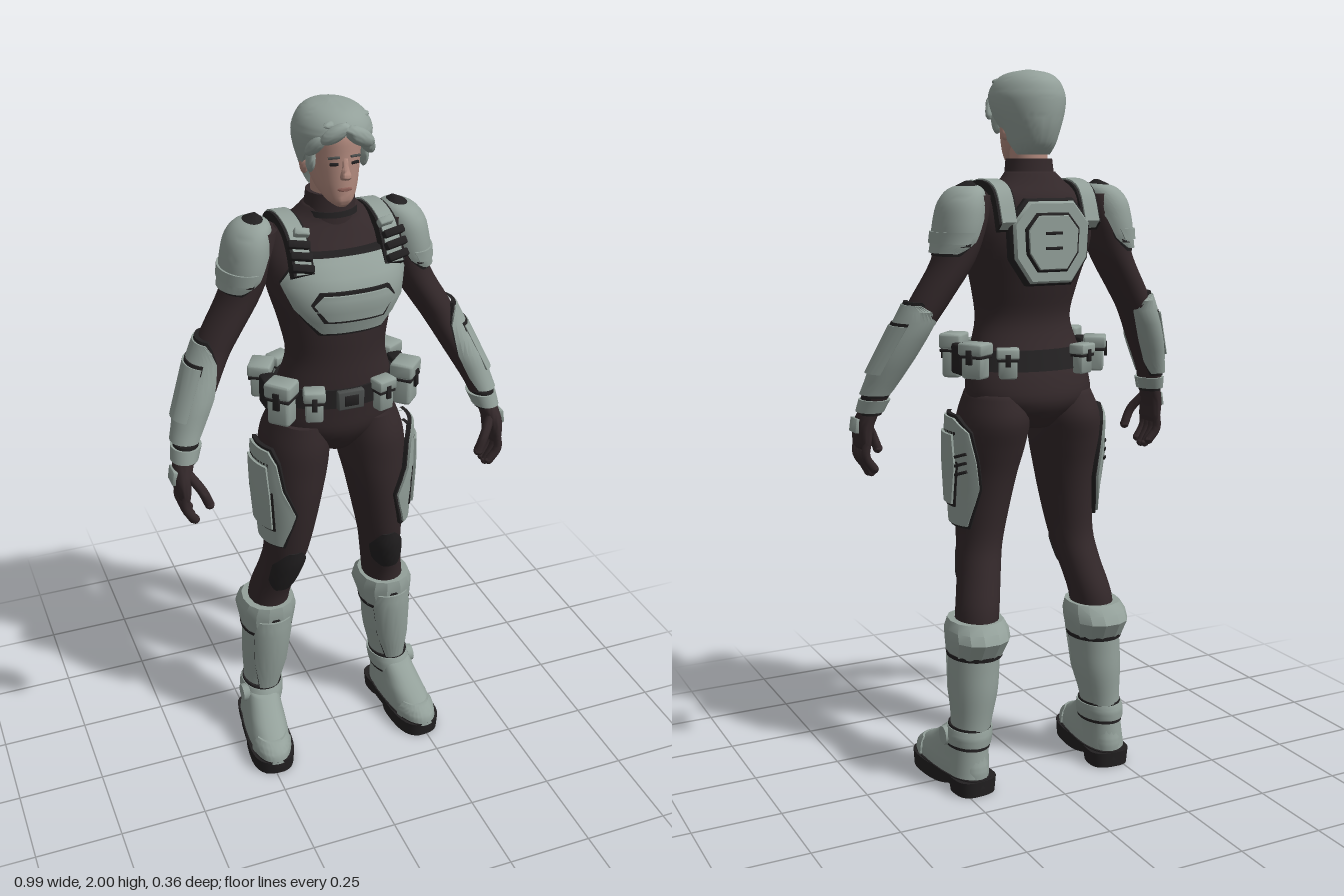
import * as THREE from 'three';
import { toCreasedNormals } from 'three/addons/utils/BufferGeometryUtils.js';
import { RoundedBoxGeometry } from 'three/addons/geometries/RoundedBoxGeometry.js';

const paint = (name, color) => Object.assign(new THREE.MeshStandardMaterial({ color }), { name });
const suit = paint('suit', 0x33282a), armour = paint('armour', 0x93a09a), trim = paint('trim', 0x222021);
const skin = paint('skin', 0xb28a7e), lip = paint('lip', 0x8f625a), metal = paint('metal', 0x4b4e4d);

export function createModel() {
  const model = new THREE.Group();
  model.name = 'armouredFigure';

  // Adds a mesh; both = true also adds its mirror image on the other side
  function add(name, mat, geo, both = false, crease = 0.7) {
    for (const side of both ? [1, -1] : [1]) {
      const g = geo.index ? geo.toNonIndexed() : geo.clone();
      g.deleteAttribute('uv');
      g.deleteAttribute('normal');
      const p = g.attributes.position;
      if (side < 0) {
        for (let i = 0; i < p.count; i += 3) {
          const a = [p.getX(i), p.getY(i), p.getZ(i)];
          p.setXYZ(i, p.getX(i + 1), p.getY(i + 1), p.getZ(i + 1));
          p.setXYZ(i + 1, ...a);
        }
        for (let i = 0; i < p.count; i++) p.setX(i, -p.getX(i));
      }
      const mesh = new THREE.Mesh(toCreasedNormals(g, crease), mat);
      mesh.name = both ? (side > 0 ? 'left' : 'right') + name[0].toUpperCase() + name.slice(1) : name;
      model.add(mesh);
    }
  }

  // Skins stacked oval rows [y, cx, cz, rx, rz, startAngle, endAngle]; partial angles make a thick shell
  function wrap(rows, { t = 0.012, n = 28, per = 4, pow = 1, linear = false, shell = false } = {}) {
    const src = (rows[0][0] < rows[rows.length - 1][0] ? rows : [...rows].reverse()).map(r => r.length > 5 ? r : [...r, 0, 360]);
    const open = shell || rows[0].length > 5, R = [], last = src.length - 1;
    for (let s = 0; s <= last * per; s++) {
      const i = Math.min(Math.floor(s / per), last - 1), f = s / per - i;
      const [a, b, c, d] = [-1, 0, 1, 2].map(k => src[Math.min(last, Math.max(0, i + k))]);
      R.push(b.map((v, k) => linear || k > 4 ? v + (c[k] - v) * f
        : v + 0.5 * f * (c[k] - a[k] + f * (2 * a[k] - 5 * v + 4 * c[k] - d[k] + f * (3 * (v - c[k]) + d[k] - a[k])))));
    }
    const inset = r => [r[0], r[1], r[2], open ? r[3] - t : 0, open ? r[4] - t : 0, r[5], r[6]];
    const all = [inset(R[0]), ...R, inset(R[R.length - 1])];
    const pos = [], idx = [], cols = open ? n + 3 : n + 1;
    const bend = v => Math.sign(v) * Math.abs(v) ** pow;
    for (const [y, cx, cz, rx, rz, a0, a1] of all) {
      for (let j = 0; j < cols; j++) {
        const k = open ? Math.min(n, Math.max(0, j - 1)) : j;
        const cut = open && (j === 0 || j === cols - 1) ? t : 0;
        const a = (a0 + (a1 - a0) * k / n) * Math.PI / 180;
        pos.push(cx + Math.max(0, rx - cut) * bend(Math.cos(a)), y, cz + Math.max(0, rz - cut) * bend(Math.sin(a)));
      }
    }
    for (let i = 0; i < all.length - 1; i++) for (let j = 0; j < cols - 1; j++) {
      const a = i * cols + j, b = a + cols;
      idx.push(a, b, a + 1, b, b + 1, a + 1);
    }
    const g = new THREE.BufferGeometry();
    g.setAttribute('position', new THREE.Float32BufferAttribute(pos, 3));
    g.setIndex(idx);
    return g;
  }

  // Armour shell with a slightly wider dark edging underneath
  function plate(name, rows, both, opts = {}) {
    add(name, armour, wrap(rows, { n: 16, per: 2, linear: true, ...opts }), both, 0.5);
    const e = rows.length - 1, up = Math.sign(rows[0][0] - rows[e][0]);
    const edge = rows.map(([y, cx, cz, rx, rz, a0, a1], i) =>
      [y + (i === 0 ? up : i === e ? -up : 0) * 0.008, cx, cz, rx - 0.007, rz - 0.007, a0 - 4, a1 + 4]);
    add(name + 'Edge', trim, wrap(edge, { n: 16, per: 2, linear: true, ...opts }), both, 0.5);
  }

  function place(g, pos, rot = [0, 0, 0]) {
    return g.applyMatrix4(new THREE.Matrix4().makeRotationFromEuler(new THREE.Euler(...rot)).setPosition(...pos));
  }
  const block = (name, mat, size, pos, rot, both) =>
    add(name, mat, place(new RoundedBoxGeometry(...size, 2, Math.min(...size) * 0.2), pos, rot), both);
  const ball = (name, mat, size, pos, rot, both) =>
    add(name, mat, place(new THREE.SphereGeometry(1, 18, 12).scale(...size), pos, rot), both, 1.5);

  // Body suit
  add('torso', suit, wrap([[1.03, 0, -.02, .06, .08], [1.1, 0, -.025, .172, .13], [1.17, 0, -.015, .182, .13], [1.25, 0, .005, .16, .115],
    [1.33, 0, .015, .14, .105], [1.42, 0, .005, .155, .12], [1.52, 0, -.01, .182, .135], [1.6, 0, -.025, .188, .125],
    [1.66, 0, -.04, .16, .1], [1.7, 0, -.038, .1, .075], [1.73, 0, -.03, .07, .064]], { n: 40 }), false, 1.2);
  add('collar', suit, wrap([[1.67, 0, -.03, .085, .075], [1.72, 0, -.026, .07, .066], [1.765, 0, -.024, .064, .062]], { shell: true }));
  add('collarBand', trim, wrap([[1.705, 0, -.027, .077, .072], [1.72, 0, -.026, .073, .069]], { shell: true }));
  add('leg', suit, wrap([[1.13, .1, -.015, .08, .115], [1.06, .11, -.02, .096, .132], [.98, .118, -.01, .096, .12], [.9, .125, 0, .085, .106],
    [.8, .135, .003, .074, .09], [.7, .147, -.003, .064, .076], [.62, .161, -.028, .06, .073], [.52, .182, -.062, .06, .073],
    [.42, .192, -.065, .06, .07]]), true, 1.2);
  add('kneePad', trim, wrap([[.72, .145, .002, .055, .08, 70, 110], [.67, .151, -.01, .064, .084, 35, 145], [.61, .163, -.03, .063, .083, 40, 140],
    [.57, .172, -.045, .06, .08, 70, 110]], { n: 14 }), true);
  add('arm', suit, wrap([[1.67, .185, -.055, .045, .065], [1.6, .212, -.055, .062, .078], [1.5, .243, -.055, .057, .072], [1.4, .303, -.045, .054, .065],
    [1.34, .338, -.035, .05, .06], [1.25, .385, -.005, .046, .056], [1.15, .43, .03, .036, .043], [1.09, .447, .052, .031, .038]]), true, 1.2);

  // Chest and back armour
  plate('chestPlate', [[1.625, 0, -.02, .185, .13, 55, 125], [1.6, 0, -.015, .188, .148, 40, 140], [1.56, 0, -.005, .188, .166, 24, 156],
    [1.5, 0, 0, .18, .172, 36, 144], [1.43, 0, 0, .16, .15, 62, 118]], false, { pow: .85, t: .03, n: 24 });
  plate('chestPanel', [[1.545, 0, 0, .19, .178, 66, 114], [1.52, 0, 0, .19, .181, 58, 122], [1.475, 0, 0, .18, .175, 69, 111]], false, { pow: .85 });
  const octagon = s => new THREE.Shape([[-.065, .105], [.065, .105], [.11, .05], [.105, -.04], [.06, -.105], [-.06, -.105], [-.105, -.04], [-.11, .05]]
    .map(([x, y]) => new THREE.Vector2(x * s, y * s)));
  [['backPlateEdge', trim, 1.05, -.125], ['backPlate', armour, .98, -.135], ['backPanelEdge', trim, .7, -.142], ['backPanel', armour, .66, -.145]].forEach(([name, mat, s, z]) =>
    add(name, mat, place(new THREE.ExtrudeGeometry(octagon(s), { depth: .02, bevelSize: .006, bevelThickness: .008, bevelSegments: 1 }), [0, 1.545, z], [0, Math.PI, 0])));
  for (const y of [1.53, 1.57]) block('backSlot', trim, [.05, .008, .006], [0, y, -.174], [0, 0, 0]);

  // Shoulder straps with dark buckles
  const over = [[.128, 1.6], [.1, 1.655], [.05, 1.698], [-.04, 1.712], [-.12, 1.685], [-.16, 1.6]];
  const strap = (grow, w, x) => {
    const pts = new THREE.SplineCurve(over.map(([z, y]) => new THREE.Vector2(z * (1 + grow * 8), y + grow))).getPoints(20);
    const inner = pts.map(p => new THREE.Vector2(p.x * .8 - .008, p.y - .022)).reverse();
    return place(new THREE.ExtrudeGeometry(new THREE.Shape([...pts, ...inner]), { depth: w, bevelEnabled: false }).rotateY(-Math.PI / 2), [x + w / 2, 0, 0]);
  };
  add('shoulderStrapEdge', trim, strap(-.004, .056, .125), true);
  add('shoulderStrap', armour, strap(0, .042, .125), true);
  for (const [y, z] of [[1.615, .126], [1.643, .113], [1.668, .095]]) block('strapBuckle', trim, [.058, .02, .026], [.13, y, z], [-.6, 0, .2], true);
  block('strapClip', armour, [.04, .02, .024], [.115, 1.692, .075], [-.8, 0, .2], true);

  // Shoulder and arm armour
  plate('shoulderPad', [[1.7, .195, -.055, .012, .02, -179, 179], [1.685, .205, -.055, .045, .062, -179, 179], [1.65, .217, -.055, .061, .085, -150, 150],
    [1.6, .226, -.055, .065, .092, -125, 125], [1.55, .235, -.055, .063, .089, -110, 110], [1.52, .247, -.055, .058, .078, -75, 75]], true, { linear: false, n: 24, per: 4 });
  plate('shoulderPadRim', [[1.575, .231, -.055, .069, .097, -100, 100], [1.545, .236, -.055, .068, .094, -90, 90]], true);
  plate('forearmGuard', [[1.385, .328, -.04, .055, .066, -60, 50], [1.34, .346, -.032, .058, .07, -135, 95], [1.25, .39, -.002, .058, .068, -140, 125],
    [1.18, .42, .02, .048, .056, -140, 130], [1.14, .436, .034, .044, .051, -120, 120]], true, { n: 20, linear: false });
  plate('forearmPanel', [[1.33, .352, -.03, .063, .075, -50, 60], [1.2, .412, .015, .058, .066, -50, 60]], true);
  plate('wristBand', [[1.125, .438, .04, .042, .05, -179, 179], [1.09, .448, .052, .038, .046, -179, 179]], true, { n: 24 });

  // Gloves
  add('palm', suit, wrap([[1.1, .446, .05, .029, .036], [1.05, .462, .068, .026, .047], [1.0, .464, .074, .02, .05], [.985, .462, .074, .014, .046]]), true, 1.2);
  const tube = (pts, r) => new THREE.TubeGeometry(new THREE.CatmullRomCurve3(pts.map(p => new THREE.Vector3(...p))), 10, r, 8);
  for (let i = 0; i < 4; i++) {
    const z = .036 + i * .025, tip = [.91 + Math.abs(i - 1.6) * .012, z * .9 + .01];
    add('finger', suit, tube([[.463, 1.01, z], [.466, .965, z + .002], [.442, ...tip]], .0125), true, 1.2);
    ball('fingertip', suit, [.0125, .0125, .0125], [.442, ...tip], [0, 0, 0], true);
  }
  add('thumb', suit, tube([[.45, 1.06, .09], [.42, 1.015, .115], [.402, .97, .118]], .0135), true, 1.2);
  ball('thumbTip', suit, [.0135, .0135, .0135], [.402, .97, .118], [0, 0, 0], true);
  block('handPlate', armour, [.012, .04, .05], [.486, 1.052, .068], [0, 0, .15], true);

  // Belt, buckle and pouches
  add('belt', trim, wrap([[1.195, 0, -.008, .183, .134], [1.25, 0, .002, .168, .124]], { shell: true, n: 36 }));
  block('beltBuckle', metal, [.075, .055, .02], [0, 1.222, .13], [0, 0, 0]);
  block('buckleInset', trim, [.04, .03, .008], [0, 1.222, .14], [0, 0, 0]);
  const pouch = (x, y, z, w, h, d, turn) => {
    const at = (out, dy) => [x + Math.sin(turn) * out, y + dy, z + Math.cos(turn) * out], r = [0, turn, 0];
    block('pouch', armour, [w, h, d], [x, y, z], r, true);
    block('pouchLid', armour, [w + .012, h * .36, d + .014], at(0, h * .36), r, true);
    block('pouchSeam', trim, [w + .006, .008, d + .008], at(0, h * .14), r, true);
    block('pouchClasp', trim, [w * .3, h * .42, .008], at(d / 2 + .006, h * .14), r, true);
  };
  pouch(.1, 1.215, .12, .048, .09, .035, .3);
  pouch(.18, 1.222, .085, .066, .12, .052, .8);
  pouch(.186, 1.225, -.07, .065, .095, .05, 2.1);
  pouch(.115, 1.22, -.125, .05, .08, .035, 2.7);
  block('sidePouch', trim, [.045, .085, .065], [.188, 1.222, .01], [0, 0, 0], true);

  // Thigh armour
  plate('thighPlate', [[1.065, .125, -.005, .114, .125, -10, 35], [1.03, .125, -.005, .116, .128, -38, 48], [.95, .126, 0, .115, .127, -50, 56],
    [.87, .13, .003, .105, .118, -56, 76], [.83, .132, .004, .1, .112, -50, 70], [.76, .14, .005, .088, .1, -38, 58]], true);
  plate('thighPanel', [[1.02, .125, -.005, .123, .135, -12, 34], [.93, .127, 0, .12, .133, -18, 38], [.82, .133, .004, .108, .12, -10, 40]], true);
  for (let i = 0; i < 3; i++) block('thighSlot', trim, [.008, .008, .045], [.228, .965 - i * .025, -.058], [.35, .42, 0], true);

  // Boots
  add('bootShaft', armour, wrap([[.42, .193, -.066, .07, .084], [.36, .197, -.066, .071, .084], [.29, .201, -.07, .068, .08], [.2, .21, -.075, .056, .067],
    [.13, .217, -.075, .054, .067], [.05, .222, -.075, .058, .076]]), true, 1.2);
  add('bootCuff', armour, wrap([[.498, .189, -.062, .076, .086], [.475, .19, -.072, .086, .1], [.45, .191, -.08, .087, .106], [.4, .194, -.066, .076, .09]],
    { linear: true, n: 14, pow: .9, per: 1, shell: true, t: .02 }), true, .4);
  add('cuffGap', trim, wrap([[.405, .194, -.066, .079, .093], [.393, .194, -.066, .077, .09]], { shell: true }), true);
  plate('shinPlate', [[.45, .191, -.07, .085, .102, 55, 125], [.4, .194, -.064, .078, .098, 40, 140], [.28, .202, -.07, .071, .092, 45, 135],
    [.19, .211, -.073, .06, .077, 62, 118]], true);
  add('ankleStrap', armour, wrap([[.185, .212, -.07, .062, .075], [.165, .215, -.068, .065, .082], [.14, .217, -.064, .063, .085]], { shell: true }), true);
  add('ankleStrapEdge', trim, wrap([[.192, .212, -.07, .059, .071], [.13, .217, -.064, .06, .082]], { shell: true }), true);
  add('ankleDisc', armour, place(new THREE.CylinderGeometry(.026, .03, .02, 16), [.276, .155, -.045], [0, 0, -Math.PI / 2]), true);

  // Feet, turned slightly outward about the ankle
  const toe = g => g.translate(-.222, 0, .07).rotateY(.1).translate(.222, 0, -.07);
  add('foot', armour, toe(wrap([[.035, .222, .012, .062, .163], [.07, .222, .008, .062, .16], [.1, .221, -.01, .058, .135], [.13, .22, -.035, .054, .105],
    [.17, .217, -.062, .05, .076]], { pow: .85 })), true, 1.2);
  add('toeCap', armour, toe(wrap([[.04, .222, .014, .067, .168, 25, 155], [.07, .222, .01, .066, .164, 28, 152], [.094, .222, -.004, .06, .148, 45, 135]], { pow: .85 })), true);
  add('sole', trim, toe(wrap([[.0, .222, .068, .066, .108], [.045, .222, .068, .068, .112]], { pow: .75, linear: true })), true);
  add('heel', trim, toe(wrap([[.0, .222, -.1, .058, .056], [.045, .222, -.1, .062, .06]], { pow: .7, linear: true })), true);
  add('soleRim', trim, toe(wrap([[.022, .222, .011, .066, .17], [.048, .222, .011, .066, .17]], { pow: .8, linear: true })), true);

  // Head and face
  add('neck', skin, wrap([[1.7, 0, -.025, .054, .054], [1.82, 0, -.02, .05, .055]]));
  add('head', skin, wrap([[1.745, 0, .054, .016, .02], [1.76, 0, .04, .035, .045], [1.79, 0, .015, .053, .072], [1.83, 0, -.004, .064, .091],
    [1.88, 0, -.01, .07, .096], [1.93, 0, -.012, .07, .095], [1.97, 0, -.015, .05, .07]]), false, 1.5);
  add('nose', skin, wrap([[1.822, 0, .084, .013, .014], [1.832, 0, .088, .014, .022], [1.85, 0, .084, .009, .016], [1.875, 0, .08, .008, .01]], { n: 14 }), false, 1.5);
  ball('ear', skin, [.012, .028, .018], [.071, 1.84, -.02], [.2, 0, 0], true);
  block('eye', trim, [.022, .007, .006], [.028, 1.861, .08], [0, .3, 0], true);
  block('eyebrow', metal, [.03, .005, .008], [.029, 1.878, .081], [0, .3, -.08], true);
  ball('lips', lip, [.02, .006, .008], [0, 1.795, .083]);

  // Swept hair, open around the face
  add('hair', armour, wrap([[1.775, 0, -.045, .05, .032, 190, 350], [1.8, 0, -.038, .065, .066, 182, 358], [1.84, 0, -.028, .08, .094, 172, 368],
    [1.88, 0, -.02, .094, .11, 155, 385], [1.915, 0, -.014, .101, .118, 134, 406], [1.94, 0, -.01, .099, .119, 92, 448], [1.97, 0, -.012, .083, .104, 90, 450],
    [1.99, 0, -.015, .055, .07, 90, 450], [2.0, 0, -.018, .004, .006, 90, 450]], { t: .02, n: 36 }), false, 1);
  ball('fringe', armour, [.055, .022, .02], [.035, 1.93, .093], [0, .4, -.5]);
  ball('fringe', armour, [.05, .018, .018], [.065, 1.905, .066], [0, .8, -.75]);
  ball('fringe', armour, [.042, .02, .02], [-.03, 1.942, .092], [0, -.35, .55]);
  ball('fringe', armour, [.04, .018, .02], [-.068, 1.91, .058], [0, -.9, .8]);
  for (let i = 0; i < 4; i++) ball('hairLock', armour, [.075, .012, .02], [.012, 1.962 + .01 * Math.sin(i * 1.1 + .4), .06 - i * .035], [.5 - i * .25, .35, -.12]);
  ball('sideburn', armour, [.012, .035, .02], [.072, 1.865, .03], [.2, 0, 0], true);
  return model;
}
